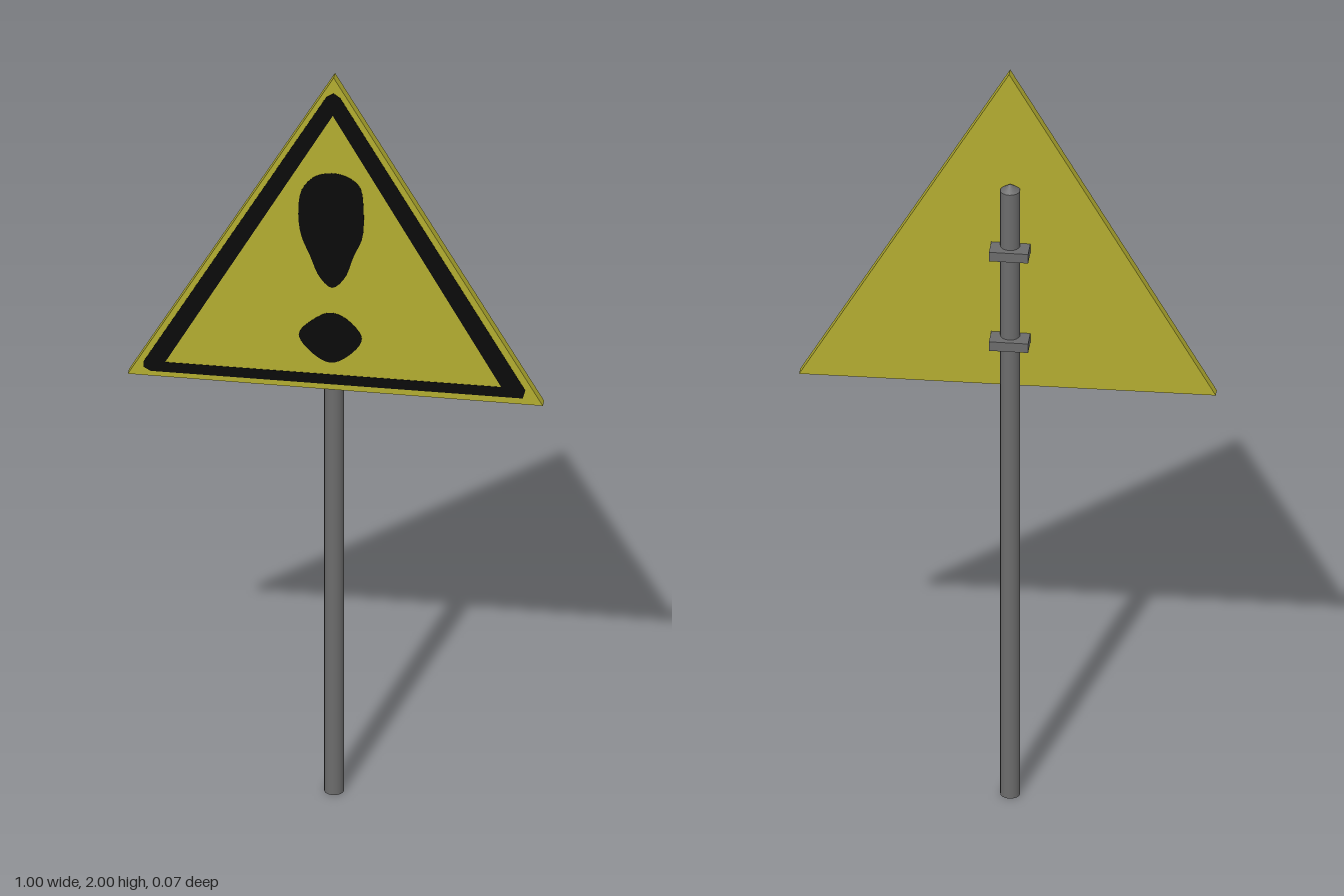
import * as THREE from 'three';

const material = (name, color) => {
  const m = new THREE.MeshStandardMaterial({ color });
  m.name = name;
  return m;
};

const outline = (points) => points.map(([x, y]) => new THREE.Vector2(x, y));

export function createModel() {
  const group = new THREE.Group();
  const yellow = material('sign yellow', 0xb3ad30);
  const black = material('symbol black', 0x0a0a0a);
  const grey = material('post grey', 0x6c6c6c);

  const add = (name, geometry, mat, x = 0, y = 0, z = 0) => {
    const mesh = new THREE.Mesh(geometry, mat);
    mesh.name = name;
    mesh.position.set(x, y, z);
    group.add(mesh);
  };
  const extrude = (shape, depth) =>
    new THREE.ExtrudeGeometry(shape, { depth, bevelEnabled: false, curveSegments: 6 });

  const postX = -0.008;
  const radius = 0.024;
  const back = 0.012;
  const front = 0.036;

  // Post with a shallow conical cap
  add('post', new THREE.CylinderGeometry(radius, radius, 1.685, 16), grey, postX, 0.8425, 0);
  add('postCap', new THREE.ConeGeometry(radius, 0.017, 16), grey, postX, 1.6935, 0);

  // Clamps joining post and panel
  for (const y of [1.268, 1.518]) {
    add('clamp', new THREE.BoxGeometry(0.094, 0.025, 0.049), grey, postX, y, back - 0.0245);
  }

  // Triangular panel
  const panel = new THREE.Shape(outline([[-0.5, 1.137], [0.5, 1.131], [-0.004, 2]]));
  add('panel', extrude(panel, front - back), yellow, 0, 0, back);

  // Painted border with blunt corners
  const border = new THREE.Shape(outline([
    [-0.445, 1.15], [0.452, 1.148], [0.458, 1.17], [0.012, 1.945], [-0.004, 1.957],
    [-0.022, 1.945], [-0.462, 1.175], [-0.462, 1.16],
  ]));
  border.holes.push(new THREE.Path(outline([
    [-0.41, 1.177], [-0.006, 1.895], [0.4, 1.175],
  ])));
  add('border', extrude(border, 0.001), black, 0, 0, front);

  // Painted exclamation mark, smoothed through a few points
  const blob = (points) =>
    new THREE.Shape(new THREE.CatmullRomCurve3(
      points.map(([x, y]) => new THREE.Vector3(x, y, 0)), true,
    ).getPoints(48).slice(0, -1).map((p) => new THREE.Vector2(p.x, p.y)));

  const stroke = blob([
    [-0.008, 1.735], [-0.05, 1.722], [-0.08, 1.685], [-0.089, 1.63], [-0.083, 1.56],
    [-0.06, 1.5], [-0.038, 1.445], [-0.008, 1.417], [0.022, 1.445], [0.045, 1.51],
    [0.065, 1.56], [0.068, 1.64], [0.06, 1.7], [0.032, 1.726],
  ]);
  const dot = blob([
    [-0.012, 1.347], [-0.05, 1.328], [-0.088, 1.282], [-0.055, 1.232],
    [-0.012, 1.209], [0.028, 1.228], [0.064, 1.28], [0.028, 1.332],
  ]);
  add('exclamationStroke', extrude(stroke, 0.001), black, 0, 0, front);
  add('exclamationDot', extrude(dot, 0.001), black, 0, 0, front);

  return group;
}
